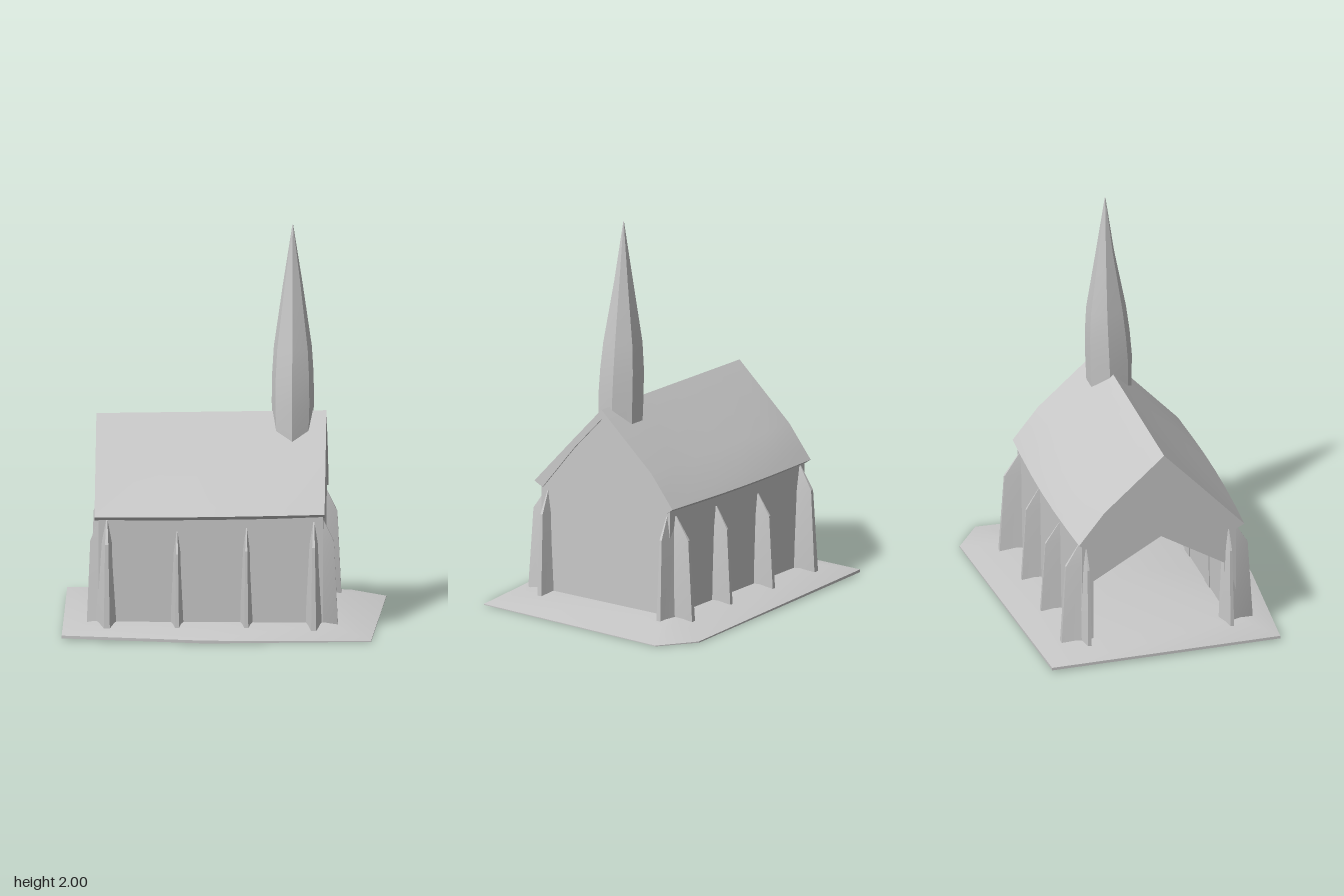
import * as THREE from 'three';
import { toCreasedNormals } from 'three/addons/utils/BufferGeometryUtils.js';

const stone = new THREE.MeshStandardMaterial({ color: 0xc8c8c8, side: THREE.DoubleSide });
stone.name = 'plain grey stone';

// Skin stacked rings (listed bottom to top, each turning from +z towards +x) and close both ends.
function loft(rings, crease = 0.5) {
  const n = rings[0].length, pos = [];
  const tri = (a, b, c) => pos.push(...a, ...b, ...c);
  const middle = (r) => [0, 1, 2].map((k) => r.reduce((s, p) => s + p[k], 0) / n);
  const low = rings[0], high = rings[rings.length - 1];
  const lowMid = middle(low), highMid = middle(high);
  for (let i = 0; i < n; i++) {
    const j = (i + 1) % n;
    for (let r = 0; r < rings.length - 1; r++) {
      const a = rings[r], b = rings[r + 1];
      tri(a[i], a[j], b[j]);
      tri(a[i], b[j], b[i]);
    }
    tri(lowMid, low[j], low[i]);
    tri(highMid, high[i], high[j]);
  }
  const g = new THREE.BufferGeometry();
  g.setAttribute('position', new THREE.Float32BufferAttribute(pos, 3));
  g.computeVertexNormals();
  return toCreasedNormals(g, crease);
}

// Extrude an end profile of [-z, y] points along x.
function extrudeX(points, x0, x1, steps = 1) {
  const shape = new THREE.Shape(points.map(([u, y]) => new THREE.Vector2(u, y)));
  const g = new THREE.ExtrudeGeometry(shape, { depth: x1 - x0, bevelEnabled: false, steps });
  return g.rotateY(Math.PI / 2).translate(x0, 0, 0);
}

export function createModel() {
  const model = new THREE.Group();
  const add = (name, geometry, parent = model) => {
    const mesh = new THREE.Mesh(geometry, stone);
    mesh.name = name;
    parent.add(mesh);
    return mesh;
  };

  // Uneven ground slab sloping up to the foot of the walls
  const outline = [[-0.08, 0.65], [0.74, 0.585], [0.79, -0.52], [0.61, -0.655], [-0.8, -0.6], [-0.8, 0.585]];
  const foot = [[-0.08, 0.46], [0.5, 0.43], [0.52, -0.38], [0.46, -0.42], [-0.64, -0.42], [-0.64, 0.43]];
  const edgeY = (x) => 0.01 - 0.0125 * x;
  add('groundSlab', loft([
    outline.map(([x, z]) => [x, Math.max(0, edgeY(x) - 0.01), z]),
    outline.map(([x, z]) => [x, edgeY(x) + 0.004, z]),
    foot.map(([x, z]) => [x, 0.06, z]),
  ]));

  // Long walls
  for (const [name, z] of [['frontWall', 0.395], ['backWall', -0.375]]) {
    add(name, new THREE.BoxGeometry(1.1, 0.57, 0.03).translate(-0.06, 0.325, z));
  }

  // Closed gable wall
  const gable = [[0.39, 0.04], [0.39, 0.61], [0.27, 0.76], [-0.03, 1.03], [-0.41, 0.61], [-0.41, 0.04]];
  add('closedGable', extrudeX(gable, 0.46, 0.497));

  // Open gable wall with a peaked entrance
  const entrance = [[-0.35, 0.04], [-0.35, 0.38], [-0.02, 0.58], [0.33, 0.38], [0.33, 0.04]];
  add('openGable', extrudeX([...gable, ...entrance], -0.62, -0.59));

  // Roof shell, slightly bowed along the eaves and rising towards the spire
  const roofTop = [[-0.455, 0.605], [-0.2, 0.87], [-0.03, 1.05], [0.28, 0.775], [0.38, 0.66], [0.42, 0.61]];
  const roofUnder = [[0.385, 0.585], [0.26, 0.74], [-0.03, 1.0], [-0.2, 0.82], [-0.405, 0.58]];
  const roof = extrudeX([...roofTop, ...roofUnder], -0.64, 0.505, 6);
  const p = roof.attributes.position;
  for (let i = 0; i < p.count; i++) {
    const x = p.getX(i), z = p.getZ(i), t = (x + 0.64) / 1.145;
    p.setY(i, p.getY(i) + 0.02 * (t - 0.5));
    if (Math.abs(z) > 0.3) p.setZ(i, z + Math.sign(z) * 0.02 * (Math.sin(Math.PI * t) - 0.4));
  }
  add('roof', toCreasedNormals(roof, 0.4));

  // Wedge-shaped buttresses: wide at the ground, pinched out under the eaves
  const buttresses = new THREE.Group();
  buttresses.name = 'buttresses';
  model.add(buttresses);
  const buttress = (x, z, turn, width, height, reach) => {
    const ring = (y, w, d) => [[-w / 2, y, -0.03], [-w * 0.1, y, d], [w * 0.15, y, d], [w / 2, y, -0.03]];
    const g = loft([
      ring(0.04, width, reach),
      ring(height * 0.8, width * 0.55, reach * 0.75),
      ring(height, width * 0.2, 0.005),
    ], 0.3);
    const mesh = add('buttress', g, buttresses);
    mesh.position.set(x, 0, z);
    mesh.rotation.y = turn;
  };
  for (const s of [1, -1]) {
    const wallZ = s > 0 ? 0.405 : -0.39, turn = s > 0 ? 0 : Math.PI;
    buttress(-0.58, wallZ, turn, 0.12, 0.58, 0.1);
    buttress(-0.23, wallZ, turn, 0.08, 0.52, 0.1);
    buttress(0.115, wallZ, turn, 0.08, 0.54, 0.095);
    buttress(0.45, wallZ, turn, 0.1, 0.57, 0.11);
    // End-wall buttresses at the corners
    buttress(0.49, s * 0.37, Math.PI / 2, 0.1, 0.58, 0.08);
    buttress(-0.61, s * 0.37, -Math.PI / 2, 0.08, 0.58, 0.07);
  }

  // Seven-sided spire, swelling a little above the ridge, then tapering to a point
  const spire = [
    [0.9, 0.1, 0.115, 0.04],
    [1.1, 0.108, 0.12, 0.037],
    [1.24, 0.106, 0.115, 0.03],
    [1.38, 0.097, 0.102, 0.024],
    [1.7, 0.05, 0.046, 0.018],
    [2.0, 0.002, 0.002, 0.018],
  ].map(([y, rx, rz, cz]) => Array.from({ length: 7 }, (_, i) => {
    const a = (i / 7) * Math.PI * 2;
    return [0.337 + rx * Math.sin(a), y, cz + rz * Math.cos(a)];
  }));
  add('spire', loft(spire));

  return model;
}
